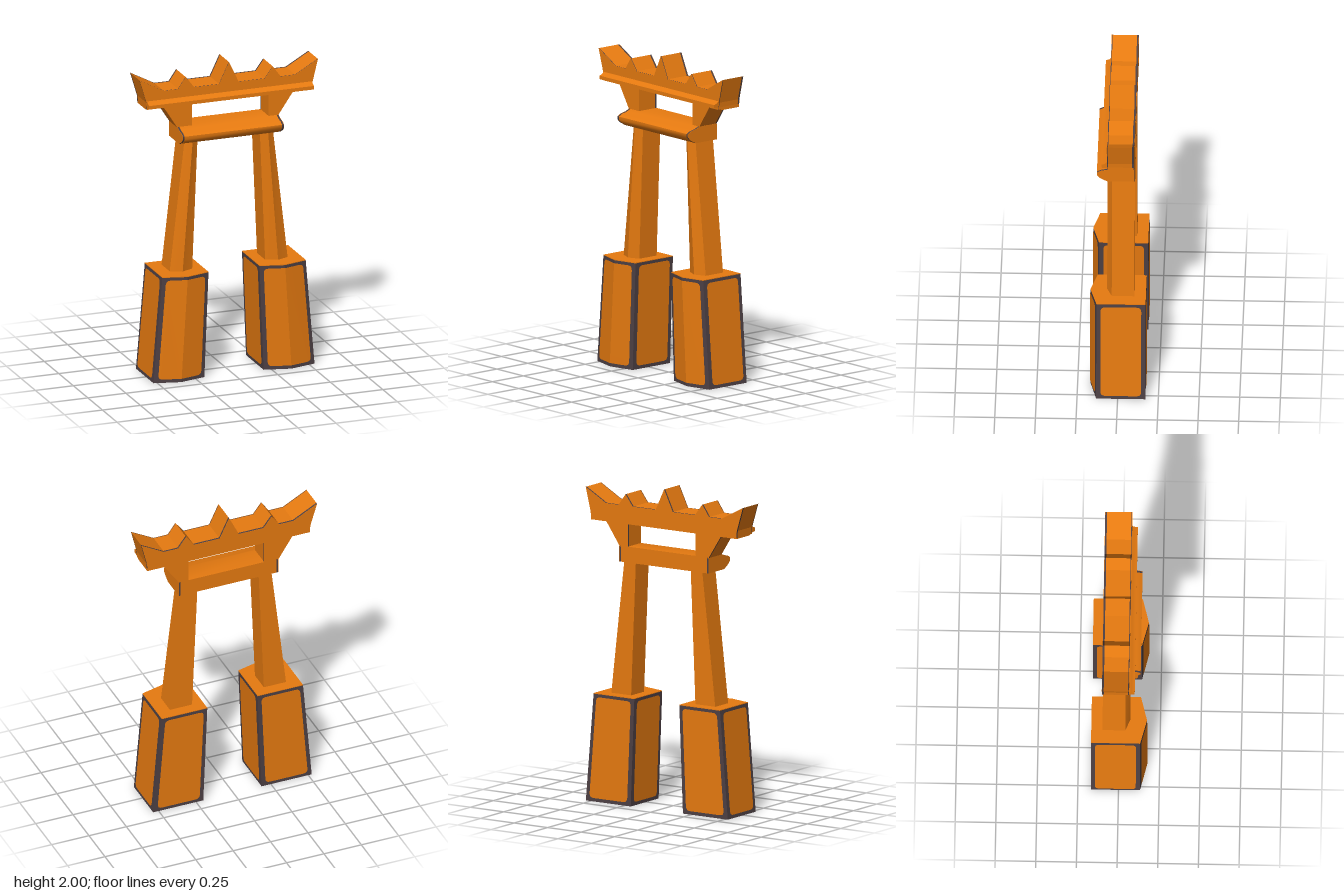
import * as THREE from 'three';
import { toCreasedNormals } from 'three/addons/utils/BufferGeometryUtils.js';

const orange = new THREE.MeshStandardMaterial({ color: 0xe67a10 });
orange.name = 'orange paint';
const dark = new THREE.MeshStandardMaterial({ color: 0x4d4044 });
dark.name = 'dark trim';

function add(parent, name, geometry, material) {
  const mesh = new THREE.Mesh(geometry, material);
  mesh.name = name;
  parent.add(mesh);
}

// Five-sided footprint with a shallow point at the front
const ring = (x0, x1, back, side, tip) => [
  [x0, side], [(x0 + x1) / 2, tip], [x1, side], [x1, back], [x0, back],
];

// Solid between two footprints at different heights
function loft(lower, upper, y0, y1, crease = 0.3) {
  const n = lower.length, pos = [], idx = [];
  lower.forEach(([x, z]) => pos.push(x, y0, z));
  upper.forEach(([x, z]) => pos.push(x, y1, z));
  for (let i = 0; i < n; i++) {
    const j = (i + 1) % n;
    idx.push(i, j, n + j, i, n + j, n + i);
    if (i > 0 && i < n - 1) idx.push(0, i + 1, i, n, n + i, n + i + 1);
  }
  const g = new THREE.BufferGeometry();
  g.setAttribute('position', new THREE.Float32BufferAttribute(pos, 3));
  g.setIndex(idx);
  return toCreasedNormals(g, crease);
}

// Round-cornered painted face laid just over a quad a-b (bottom), d-c (top)
function panel(a, b, c, d, out, mL = 0.026, mR = 0.026) {
  const W = a.distanceTo(b), H = a.distanceTo(d), m = 0.022;
  const l = mL, r = W - mR, t = H - m, rl = mL ? 0.03 : 0, rr = mR ? 0.03 : 0;
  const s = new THREE.Shape();
  s.moveTo(l + rl, m);
  s.lineTo(r - rr, m);
  if (rr) s.quadraticCurveTo(r, m, r, m + rr);
  s.lineTo(r, t - rr);
  if (rr) s.quadraticCurveTo(r, t, r - rr, t);
  s.lineTo(l + rl, t);
  if (rl) s.quadraticCurveTo(l, t, l, t - rl);
  s.lineTo(l, m + rl);
  if (rl) s.quadraticCurveTo(l, m, l + rl, m);
  const g = new THREE.ShapeGeometry(s, 5), p = g.attributes.position;
  for (let i = 0; i < p.count; i++) {
    const u = p.getX(i) / W, v = p.getY(i) / H;
    const low = a.clone().lerp(b, u), high = d.clone().lerp(c, u);
    const q = low.lerp(high, v).addScaledVector(out, 0.003);
    p.setXYZ(i, q.x, q.y, q.z);
  }
  g.computeVertexNormals();
  return g;
}

// Profile of [z, y] points extruded along x
function alongX(profile, x0, x1) {
  const s = new THREE.Shape(profile.map(([z, y]) => new THREE.Vector2(-z, y)));
  const g = new THREE.ExtrudeGeometry(s, { depth: x1 - x0, bevelEnabled: false });
  g.rotateY(Math.PI / 2).translate(x0, 0, 0);
  return toCreasedNormals(g, 0.75);
}

// Outline of [x, y] points extruded along z
function alongZ(outline, z0, z1) {
  const s = new THREE.Shape(outline.map(([x, y]) => new THREE.Vector2(x, y)));
  return new THREE.ExtrudeGeometry(s, { depth: z1 - z0, bevelEnabled: false }).translate(0, 0, z0);
}

// Left or right span in ascending x
const span = (side, inner, outer) =>
  (side > 0 ? [inner, outer] : [-outer, -inner]).map((x) => x + 0.007);

function createPlinth(side) {
  const plinth = new THREE.Group();
  plinth.name = side > 0 ? 'leftPlinth' : 'rightPlinth';
  const H = 0.68;
  const lower = ring(...span(side, 0.195, 0.53), -0.17, 0.132, 0.172);
  const upper = ring(...span(side, 0.168, 0.472), -0.17, 0.132, 0.172);
  add(plinth, 'plinthBody', loft(lower, upper, 0, H - 0.004), dark);
  add(plinth, 'plinthTop', loft(upper, upper, H - 0.004, H), orange);
  const dirs = [[0, 0, 1], [0, 0, 1], [1, 0, 0], [0, 0, -1], [-1, 0, 0]];
  dirs.forEach((dir, i) => {
    const j = (i + 1) % 5;
    const at = (r, k, y) => new THREE.Vector3(r[k][0], y, r[k][1]);
    const corners = [at(lower, i, 0), at(lower, j, 0), at(upper, j, H), at(upper, i, H)];
    // the two front halves meet at the point without a border
    add(plinth, 'plinthPanel', panel(...corners, new THREE.Vector3(...dir),
      i === 1 ? 0 : 0.026, i === 0 ? 0 : 0.026), orange);
  });
  return plinth;
}

export function createModel() {
  const gate = new THREE.Group();
  gate.name = 'gate';

  // Plinths and leaning pillars
  for (const side of [1, -1]) {
    gate.add(createPlinth(side));
    add(gate, side > 0 ? 'leftPillar' : 'rightPillar', loft(
      ring(...span(side, 0.24, 0.388), -0.1, 0.04, 0.07),
      ring(...span(side, 0.205, 0.291), -0.1, 0.04, 0.07), 0.68, 1.52, 0.5), orange);
  }

  // Lower beam with a rounded nose, dark bands near its ends
  const lowerBeam = [[-0.1, 1.51], [0.07, 1.51], [0.115, 1.535], [0.133, 1.555],
    [0.133, 1.575], [0.11, 1.588], [0.07, 1.597], [0.04, 1.61], [-0.1, 1.61]];
  add(gate, 'lowerBeam', alongX(lowerBeam, -0.318, 0.323), orange);
  for (const x of [-0.33, 0.323]) {
    add(gate, 'beamEndBand', alongX(lowerBeam, x + 0.001, x + 0.011), dark);
  }
  add(gate, 'beamEndFace', alongX(lowerBeam, -0.331, -0.329), orange);
  add(gate, 'beamEndFace', alongX(lowerBeam, 0.334, 0.336), orange);

  // Flared brackets between the beams, with a dark rear edge
  const brackets = [
    ['leftBracket', [[0.27, 1.6], [0.328, 1.6], [0.435, 1.755], [0.27, 1.755]]],
    ['rightBracket', [[-0.327, 1.6], [-0.235, 1.6], [-0.235, 1.755], [-0.425, 1.755]]],
  ];
  for (const [name, outline] of brackets) {
    add(gate, name, alongZ(outline, -0.09, 0.04), orange);
    add(gate, name + 'RearEdge', alongZ(outline, -0.099, -0.09), dark);
    add(gate, name + 'RearFace', alongZ(outline, -0.1, -0.099), orange);
  }

  // Upper beam with a projecting lip
  add(gate, 'upperBeam', alongX([[-0.099, 1.75], [0.04, 1.75], [0.06, 1.762], [0.1, 1.768],
    [0.1, 1.79], [0.08, 1.797], [0.06, 1.815], [-0.099, 1.815]], -0.54, 0.546), orange);

  // Crown with upswept ends and three peaks, edged with thin dark rims
  const crown = [[-0.54, 1.755], [0.545, 1.755], [0.548, 1.8], [0.585, 1.95], [0.435, 1.865],
    [0.34, 1.865], [0.288, 1.937], [0.235, 1.865], [0.063, 1.865], [0, 2], [-0.065, 1.865],
    [-0.23, 1.865], [-0.285, 1.937], [-0.335, 1.865], [-0.43, 1.865], [-0.588, 1.95], [-0.543, 1.8]];
  const layers = [['crownRearFace', -0.102, -0.101, orange], ['crownRearRim', -0.101, -0.09, dark],
    ['crown', -0.09, 0.06, orange], ['crownFrontRim', 0.06, 0.064, dark],
    ['crownFrontFace', 0.064, 0.066, orange]];
  for (const [name, z0, z1, material] of layers) add(gate, name, alongZ(crown, z0, z1), material);

  return gate;
}
